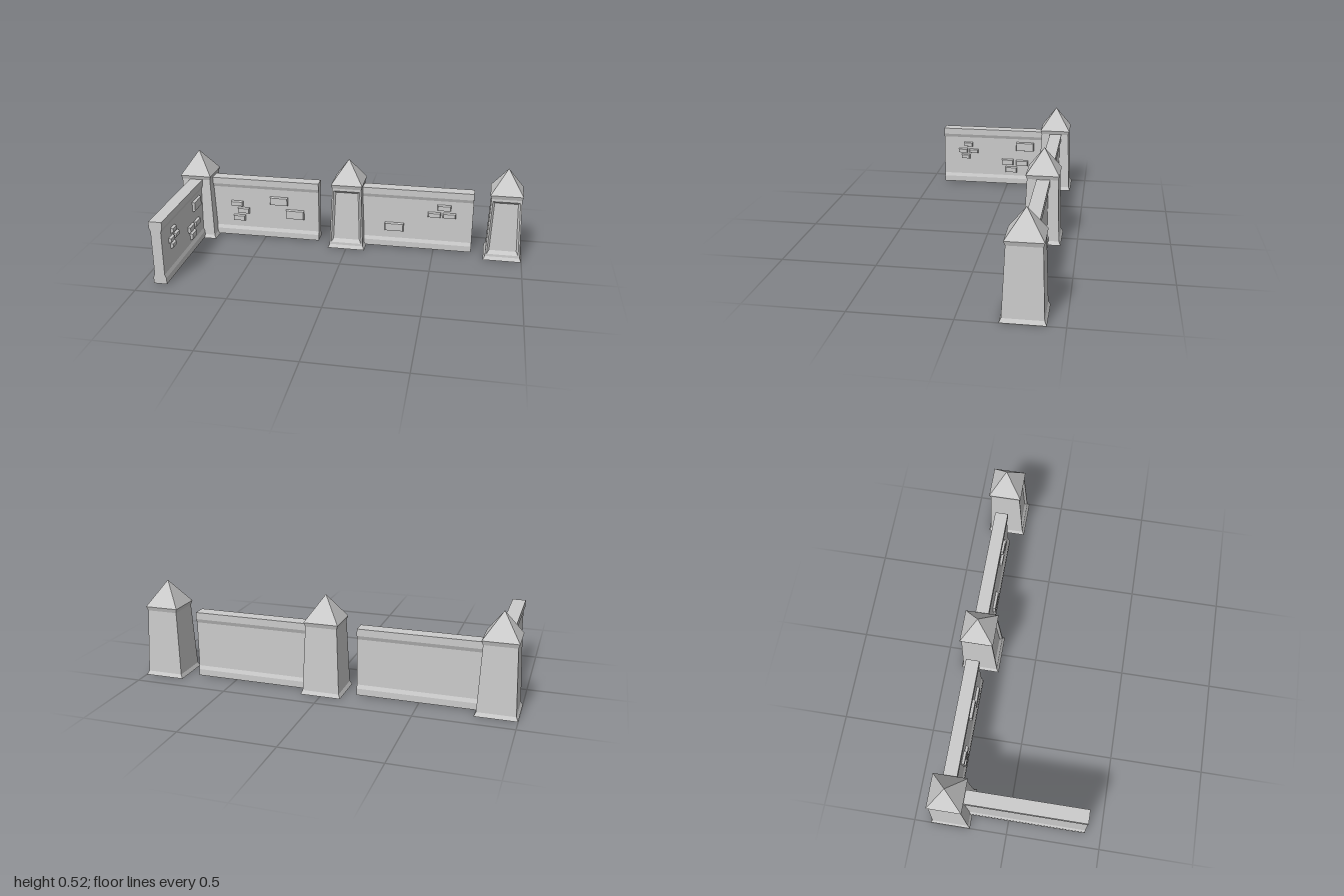
import * as THREE from 'three';

const stone = new THREE.MeshStandardMaterial({ color: 0xcccccc, flatShading: true });

function mesh(geometry, name) {
  const m = new THREE.Mesh(geometry, stone);
  m.name = name;
  return m;
}

// Square tapered solid from [halfWidth, y] pairs, listed bottom to top
function squareLathe(profile) {
  const pts = profile.map(([h, y]) => new THREE.Vector2(h * Math.SQRT2, y));
  return new THREE.LatheGeometry(pts, 4, Math.PI / 4);
}

// Flat quads from corner lists, counter-clockwise seen from outside
function quadGeometry(quads) {
  const pos = quads.flatMap(([a, b, c, d]) => [a, b, c, a, c, d].flat());
  const g = new THREE.BufferGeometry();
  g.setAttribute('position', new THREE.Float32BufferAttribute(pos, 3));
  g.computeVertexNormals();
  return g;
}

const FOOT = 0.02, NECK = 0.362;
const halfAt = (y) => 0.097 - 0.014 * (y - FOOT) / (NECK - FOOT);

// Tapered shaft, optionally with a sunken panel in its front
function shaft(recessed) {
  const rect = (y0, y1, margin, depth) => [[-1, y0], [1, y0], [1, y1], [-1, y1]]
    .map(([s, y]) => [s * (halfAt(y) - margin), y, halfAt(y) - depth]);
  const front = rect(FOOT, NECK, 0, 0);
  const [a, b, c, d] = front;
  const [a2, b2, c2, d2] = front.map(([x, y, z]) => [x, y, -z]);
  const quads = [[b, b2, c2, c], [a2, a, d, d2], [b2, a2, d2, c2]];
  const rings = [front];
  if (recessed) rings.push(rect(0.034, 0.348, 0.009, 0), rect(0.054, 0.336, 0.02, 0.012));
  for (let r = 0; r < rings.length - 1; r++) {
    for (let i = 0; i < 4; i++) {
      const j = (i + 1) % 4;
      quads.push([rings[r][i], rings[r][j], rings[r + 1][j], rings[r + 1][i]]);
    }
  }
  quads.push(rings[rings.length - 1]);
  return quadGeometry(quads);
}

function pillar(x, recessed) {
  const g = new THREE.Group();
  g.name = 'pillar';
  g.add(
    mesh(squareLathe([[0, 0], [0.107, 0], [0.097, FOOT]]), 'pillarFoot'),
    mesh(shaft(recessed), 'pillarShaft'),
    mesh(squareLathe([[0.083, NECK], [0.09, 0.384], [0, 0.516]]), 'pillarRoof'),
  );
  g.position.set(x, 0, -0.306);
  return g;
}

const OUTER = 0.036, INNER = 0.028;

// Stone with a chamfered front edge
function brick([x0, x1, y0, y1]) {
  const w = x1 - x0, h = y1 - y0, depth = 0.016, bevel = 0.005;
  const g = new THREE.BoxGeometry(w, h, depth);
  const p = g.attributes.position;
  for (let i = 0; i < p.count; i++) {
    if (p.getZ(i) > 0) {
      p.setX(i, p.getX(i) - Math.sign(p.getX(i)) * bevel);
      p.setY(i, p.getY(i) - Math.sign(p.getY(i)) * bevel);
    }
  }
  const m = mesh(g, 'brick');
  m.position.set((x0 + x1) / 2, (y0 + y1) / 2, INNER + depth / 2 - 0.002);
  return m;
}

// Wall along x with plinth and coping bands; bricks on its +z face
function wall(name, x0, x1, bricks) {
  const side = [[OUTER, 0.005], [OUTER, 0.04], [INNER, 0.06],
    [INNER, 0.305], [OUTER, 0.325], [OUTER, 0.362]];
  const outline = [...side, ...side.map(([u, y]) => [-u, y]).reverse()];
  const shape = new THREE.Shape(outline.map(([u, y]) => new THREE.Vector2(u, y)));
  const geo = new THREE.ExtrudeGeometry(shape, { depth: x1 - x0, bevelEnabled: false });
  geo.rotateY(Math.PI / 2).translate(x0, 0, 0);
  const g = new THREE.Group();
  g.name = name;
  g.add(mesh(geo, 'wallPanel'), ...bricks.map(brick));
  return g;
}

export function createModel() {
  const model = new THREE.Group();
  model.name = 'stoneWall';

  // Corner pillar is plain, the others have a sunken front panel
  model.add(pillar(-0.893, false), pillar(0, true), pillar(0.893, true));

  // Two straight sections
  const rightWall = wall('rightWall', -0.81, -0.175, [
    [-0.706, -0.631, 0.187, 0.222], [-0.668, -0.593, 0.144, 0.182],
    [-0.695, -0.62, 0.096, 0.134], [-0.468, -0.358, 0.209, 0.262],
    [-0.374, -0.262, 0.128, 0.187],
  ]);
  const leftWall = wall('leftWall', 0.085, 0.716, [
    [0.214, 0.326, 0.102, 0.155], [0.513, 0.592, 0.246, 0.283],
    [0.46, 0.535, 0.203, 0.236], [0.545, 0.621, 0.203, 0.236],
  ]);
  rightWall.position.z = leftWall.position.z = -0.31;

  // Side wing reaching forward, turned so its bricks face +x
  const wing = wall('sideWall', -0.413, 0.224, [
    [-0.285, -0.226, 0.243, 0.274], [-0.321, -0.261, 0.2, 0.231],
    [-0.25, -0.19, 0.2, 0.229], [-0.302, -0.245, 0.161, 0.192],
    [0.055, 0.17, 0.226, 0.286], [-0.038, 0.04, 0.13, 0.17],
    [0.055, 0.135, 0.128, 0.166], [-0.013, 0.064, 0.08, 0.12],
  ]);
  wing.rotation.y = Math.PI / 2;
  wing.position.x = -0.892;

  model.add(rightWall, leftWall, wing);
  return model;
}
